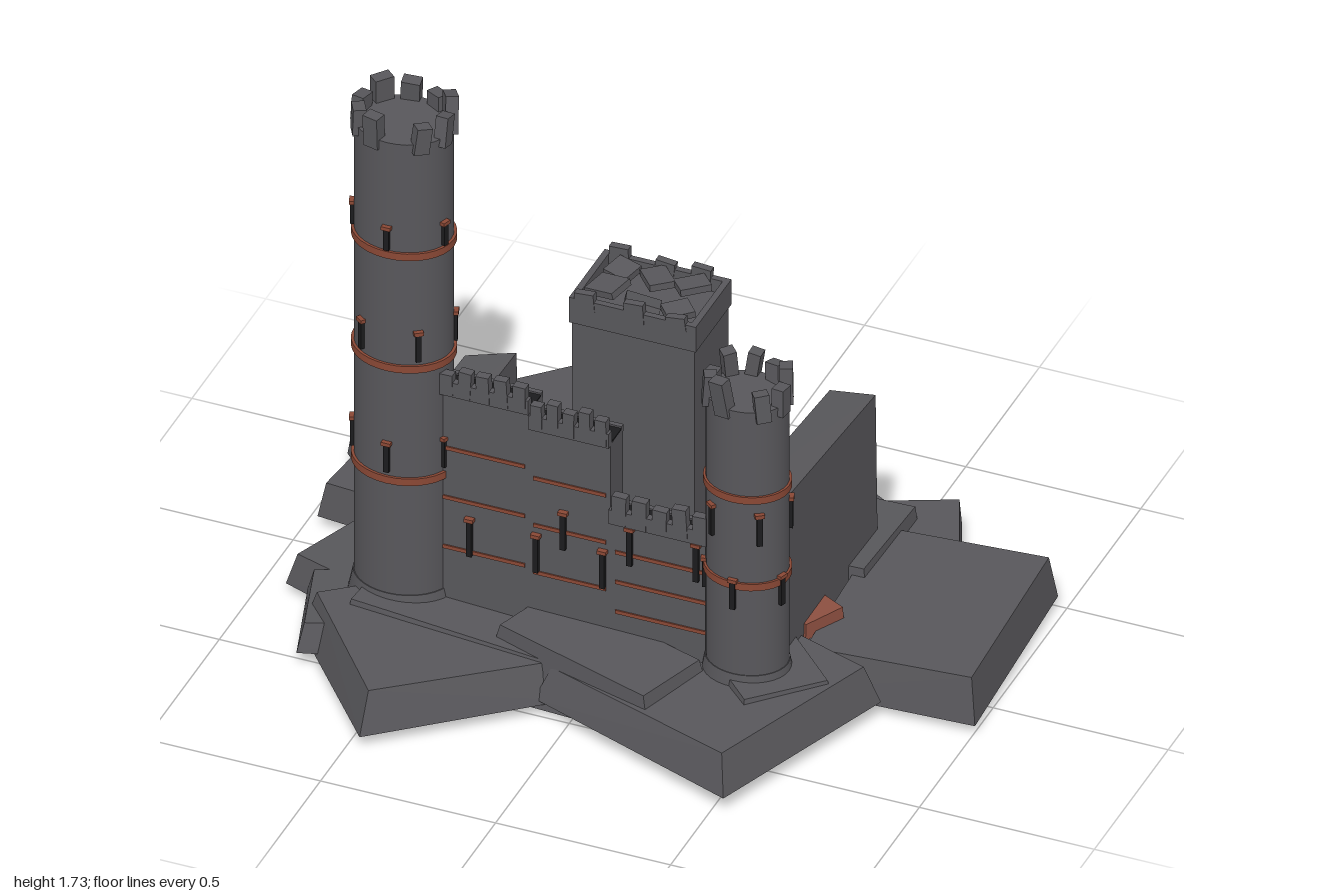
import * as THREE from 'three';
import { ConvexGeometry } from 'three/addons/geometries/ConvexGeometry.js';

export function createModel() {
  const root = new THREE.Group();
  root.name = 'ruinedCastle';
  const mat = (name, color) => Object.assign(new THREE.MeshStandardMaterial({ color }), { name });
  const stone = mat('stone', 0x58575b);
  const clay = mat('clay', 0x8c4f40);
  const trim = mat('trim', 0x8a4835);
  const dark = mat('dark', 0x1b1b1d);

  let seed = 7;
  const rnd = (a, b) => {
    seed = (seed * 16807) % 2147483647;
    return a + (b - a) * (seed / 2147483647);
  };
  const add = (parent, name, geo, m) => {
    const mesh = new THREE.Mesh(geo, m);
    mesh.name = name;
    parent.add(mesh);
    return mesh;
  };
  const box = (parent, name, m, size, pos, rot = [0, 0, 0]) => {
    const b = add(parent, name, new THREE.BoxGeometry(...size), m);
    b.position.set(...pos);
    b.rotation.set(...rot);
    return b;
  };
  const group = (name, parent = root) => {
    const g = new THREE.Group();
    g.name = name;
    parent.add(g);
    return g;
  };

  // Broken slab: a turned block with battered sides and a slightly tilted top
  const slab = (parent, name, m, base, tilt, [x, z, w, d, turn, top, shrink = 0.95]) => {
    const pts = [];
    const tx = rnd(-tilt, tilt), tz = rnd(-tilt, tilt);
    for (const a of [-0.5, 0.5]) {
      for (const b of [-0.5, 0.5]) {
        pts.push(new THREE.Vector3(a * w, base, b * d));
        const [px, pz] = [a * w * shrink, b * d * shrink];
        pts.push(new THREE.Vector3(px, top + px * tx + pz * tz, pz));
      }
    }
    const s = add(parent, name, new ConvexGeometry(pts), m);
    s.position.set(x, 0, z);
    s.rotation.y = -turn;
  };

  // Ground: overlapping rock slabs (x, z, width, depth, turn, top, shrink of the top)
  const ground = group('ground');
  [
    [-0.03, 0, 1.25, 1, 0.05, 0.14],
    [-0.41, 0.447, 0.57, 0.52, -0.7, 0.165, 0.88],
    [0.324, 0.332, 0.68, 0.61, 0.35, 0.16, 0.9],
    [0.04, 0.39, 0.56, 0.26, 0.3, 0.2, 0.88],
    [0.74, -0.17, 0.5, 0.64, -0.05, 0.16, 0.93],
    [-0.618, -0.457, 0.675, 0.4, -0.76, 0.172],
    [-0.067, -0.519, 0.37, 0.4, -0.28, 0.145],
    [0.18, -0.57, 0.18, 0.18, 0.75, 0.14],
    [0.36, -0.52, 0.26, 0.22, 0.55, 0.13],
    [0.57, -0.45, 0.28, 0.4, -0.4, 0.13],
    [0.29, -0.39, 0.53, 0.35, 0.02, 0.165],
    [-0.47, -0.33, 0.34, 0.44, -0.07, 0.175],
    [-0.68, 0.15, 0.4, 0.32, 0.35, 0.13, 0.88],
    [-0.75, -0.16, 0.4, 0.22, 0.1, 0.15, 0.9],
    [-0.65, 0.36, 0.32, 0.3, -0.3, 0.14, 0.88],
    [0.48, 0.29, 0.28, 0.28, -0.8, 0.18, 0.85],
  ].forEach((s, i) => slab(ground, 'rockSlab', stone, i ? 0.03 + (i % 4) * 0.012 : 0.02, 0.05, s));
  slab(ground, 'rockSpur', stone, 0, 0, [0.32, 0.35, 0.1, 0.08, 0.4, 0.1]);

  // Courtyard: clay slabs
  const yard = group('courtyard');
  [
    [-0.279, -0.341, 0.42, 0.4, 0.74, 0.195],
    [-0.3, -0.05, 0.46, 0.6, 0, 0.19],
    [0.195, -0.237, 0.42, 0.38, -0.3, 0.188],
    [0.157, 0.05, 0.56, 0.27, -0.36, 0.2],
    [0.02, 0.02, 0.6, 0.42, 0.05, 0.185],
    [-0.19, 0.06, 0.38, 0.12, 0.75, 0.205],
    [-0.67, -0.18, 0.17, 0.12, -0.8, 0.19],
    [0.49, 0.01, 0.1, 0.13, 0.5, 0.188],
  ].forEach((s) => slab(yard, 'claySlab', clay, 0.14, 0.03, s));

  // Arrow slit with a clay lintel, facing +z before rotation
  const slit = (parent, x, y, z, h, turn) => {
    const g = group('arrowSlit', parent);
    g.position.set(x, y, z);
    g.rotation.y = turn;
    box(g, 'slitOpening', dark, [0.015, h, 0.016], [0, 0, 0]);
    box(g, 'slitLintel', trim, [0.026, 0.011, 0.022], [0, h / 2, 0]);
  };

  // Round tower of elliptical plan, with bands, slits and crumbling merlons
  const tower = (name, cx, cz, rx, rz, top, bands, slits) => {
    const g = group(name);
    const drum = (part, m, k, y0, y1, flare = 0) => {
      const d = add(g, part, new THREE.CylinderGeometry(1, 1 + flare, y1 - y0, 32), m);
      d.scale.set(rx * k, 1, rz * k);
      d.position.set(cx, (y0 + y1) / 2, cz);
    };
    drum('shaft', stone, 1, 0.1, top);
    drum('footing', stone, 1.02, 0.12, 0.2, 0.12);
    bands.forEach((y) => drum('band', trim, 1.06, y - 0.011, y + 0.011));
    slits.forEach(([y, h, shift]) => {
      for (let i = 0; i < 5; i++) {
        const a = (i + shift) * Math.PI * 2 / 5;
        slit(g, cx + Math.sin(a) * rx * 1.01, y, cz + Math.cos(a) * rz * 1.01, h, a);
      }
    });
    // Merlons run clockwise from the front, leaving a breach beside the first
    for (let i = 0; i < 9; i++) {
      const a = -0.36 - i * 0.65;
      const h = 0.1 - (i % 3) * 0.012 + rnd(-0.012, 0.012);
      box(g, 'merlon', stone, [rnd(0.3, 0.42) * rx, h, 0.035],
        [cx + Math.sin(a) * rx * 0.93, top + h / 2 - 0.028, cz + Math.cos(a) * rz * 0.93],
        [rnd(-0.14, 0.14), a + rnd(-0.15, 0.15), rnd(-0.18, 0.18)]);
    }
  };
  tower('tallTower', -0.565, 0.28, 0.135, 0.115, 1.64, [0.565, 0.925, 1.285],
    [[0.635, 0.09, 0], [0.995, 0.09, 0.5], [1.335, 0.07, 0]]);
  tower('shortTower', 0.42, 0.288, 0.113, 0.098, 1.04, [0.485, 0.762],
    [[0.455, 0.09, 0], [0.665, 0.095, 0.5]]);

  // Front curtain wall: stepped sections with merlons and clay courses on both faces
  const wall = group('curtainWall');
  [
    [-0.45, -0.19, 0.83, 0.075, 0.652, 0.158],
    [-0.19, 0.04, 0.785, 0.085, 0.622, 0.15],
    [0.04, 0.33, 0.545, 0.085, 0.448, 0.095],
  ].forEach(([x0, x1, top, rise, course, gap]) => {
    const w = x1 - x0, cx = (x0 + x1) / 2;
    box(wall, 'wallSection', stone, [w, top - 0.1, 0.085], [cx, (top + 0.1) / 2, 0.275]);
    box(wall, 'walkway', dark, [w, 0.006, 0.06], [cx, top + 0.002, 0.27]);
    box(wall, 'parapet', stone, [w, 0.045, 0.022], [cx, top + 0.018, 0.318]);
    box(wall, 'rearKerb', stone, [w, 0.02, 0.014], [cx, top, 0.234]);
    for (let i = 0; i < 5; i++) {
      const h = rise + rnd(-0.015, 0.01);
      box(wall, 'merlon', stone, [w * 0.14, h, 0.026],
        [x0 + w * (i + 0.5) / 5, top + h / 2, 0.318], [0, 0, rnd(-0.06, 0.06)]);
    }
    for (let i = 0; i < 3; i++) {
      box(wall, 'clayCourse', trim, [w * 0.9, 0.011, 0.093], [cx, course - i * gap, 0.275]);
    }
  });
  for (let i = 0; i < 3; i++) {
    slit(wall, -0.36 + i * 0.19, 0.385, 0.322, 0.115, 0);
    slit(wall, -0.092 + i * 0.19, 0.478, 0.322, 0.115, 0);
  }

  // Side walls with sloping tops and skewed rear ends
  const sideWall = (name, cx, front, back, rear, skew) => {
    const pts = [];
    for (const s of [-1, 1]) {
      const z = rear - s * skew;
      for (const [y, pz] of [[0.1, 0.22], [front, 0.21], [back, z], [0.1, z - 0.015]]) {
        pts.push(new THREE.Vector3(cx + s * 0.06, y, pz));
      }
    }
    add(root, name, new ConvexGeometry(pts), stone);
  };
  sideWall('leftSideWall', 0.435, 0.665, 0.61, -0.388, 0.013);
  sideWall('rightSideWall', -0.585, 0.5, 0.48, -0.355, 0.032);

  // Keep with a flush parapet and broken roof slabs
  const keep = group('keep');
  keep.position.set(-0.075, 0, -0.226);
  box(keep, 'keepBody', stone, [0.35, 0.77, 0.23], [0, 0.485, 0]);
  for (const s of [-1, 1]) {
    box(keep, 'keepParapet', stone, [0.36, 0.08, 0.018], [0, 0.87, s * 0.112]);
    box(keep, 'keepParapet', stone, [0.018, 0.08, 0.24], [s * 0.172, 0.87, 0]);
    for (let i = -1; i <= 1; i++) {
      box(keep, 'brokenMerlon', stone, [0.055, rnd(0.04, 0.07), 0.022],
        [i * 0.12 + rnd(-0.02, 0.02), 0.905, s * 0.112], [0, 0, rnd(-0.15, 0.15)]);
      box(keep, 'fallenSlab', stone, [rnd(0.07, 0.1), 0.02, rnd(0.06, 0.08)],
        [i * 0.1, rnd(0.89, 0.925), s * 0.05], [rnd(-0.25, 0.25), rnd(0, 3), rnd(-0.25, 0.25)]);
    }
  }
  return root;
}
